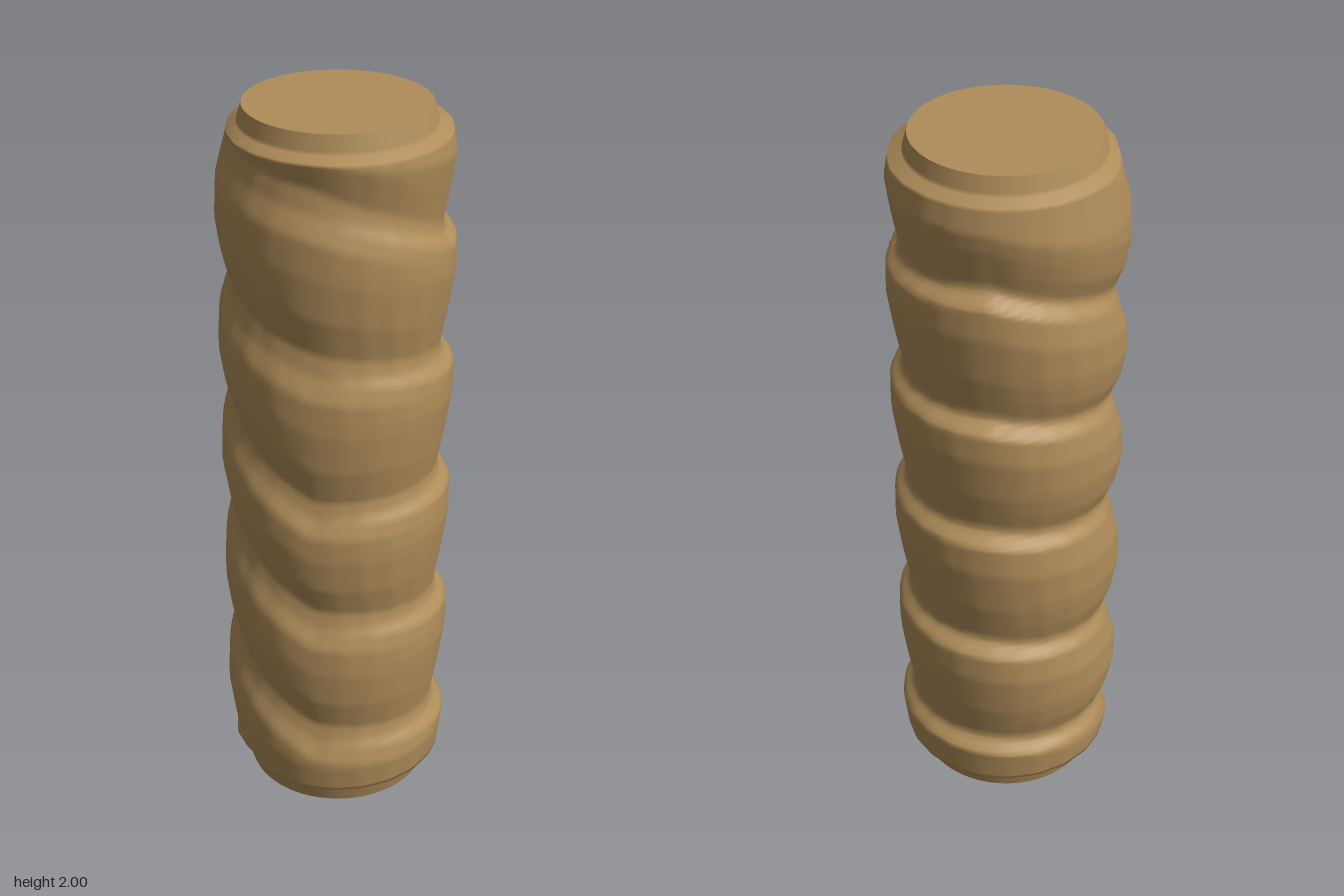
import * as THREE from 'three';
import { mergeVertices } from 'three/addons/utils/BufferGeometryUtils.js';

// Swell profile from one groove up to the next, [phase, radius], on the sides +x, -z, -x, +z
const SWELLS = [
  [[0, 0.27], [0.35, 0.292], [0.6, 0.305], [0.84, 0.304], [0.91, 0.276]],
  [[0, 0.268], [0.3, 0.295], [0.65, 0.313], [0.88, 0.31], [0.94, 0.27]],
  [[0, 0.279], [0.16, 0.303], [0.4, 0.317], [0.65, 0.312], [0.9, 0.288]],
  [[0, 0.27], [0.24, 0.295], [0.5, 0.305], [0.72, 0.303], [0.86, 0.279]],
];
// Height of the spiral groove at each quarter turn, running down the handle
const GROOVE = [2.45, 2.42, 2.32, 2.3, 2.08, 2.07, 1.95, 1.87, 1.7, 1.72, 1.58, 1.43, 1.36, 1.34, 1.26, 1,
  1, 0.98, 0.93, 0.66, 0.62, 0.59, 0.54, 0.28, 0.24, 0.22, 0.2, -0.1, -0.14, -0.16, -0.18, -0.4];

const { lerp, mapLinear } = THREE.MathUtils;

function swellRadius(side, phase) {
  const points = [...SWELLS[side], [1, SWELLS[side][0][1]]];
  const i = points.findIndex(([p], k) => k > 0 && phase <= p);
  return mapLinear(phase, points[i - 1][0], points[i][0], points[i - 1][1], points[i][1]);
}

function radiusAt(angle, y) {
  // narrow collars
  if (y > 1.943) return mapLinear(y, 1.943, 2, 0.257, 0.241);
  if (y < 0.065) return mapLinear(y, 0, 0.065, 0.25, 0.268);
  const turn = (angle / (Math.PI / 2) + 4) % 4;
  let a = Math.floor(turn);
  const f = turn - a;
  const groove = i => lerp(GROOVE[i], GROOVE[i + 1], f);
  // find the swell between two passes of the groove
  while (groove(a + 4) >= y) a += 4;
  const phase = mapLinear(y, groove(a + 4), groove(a), 0, 1);
  const swell = lerp(swellRadius(a % 4, phase), swellRadius((a + 1) % 4, phase), f);
  // faint upright grain, and a shoulder towards each collar
  const grain = 0.0012 * Math.sin(22 * angle + 1.5 * Math.sin(9 * y)) * Math.abs(Math.sin(2 * angle));
  return Math.min(swell, 0.286 + 0.12 * y, 0.289 + 0.17 * (1.943 - y)) + grain;
}

export function createModel() {
  const model = new THREE.Group();
  model.name = 'grip';
  const tan = new THREE.MeshStandardMaterial({ color: 0xb08d5a });
  tan.name = 'tan';

  // Grip wall with spiral finger swells and a narrow collar at each end
  let wall = new THREE.CylinderGeometry(1, 1, 2, 112, 200, true);
  wall.deleteAttribute('uv');
  wall.deleteAttribute('normal');
  const p = wall.attributes.position;
  for (let i = 0; i < p.count; i++) {
    const x = p.getX(i), z = p.getZ(i), y = p.getY(i) + 1;
    const r = radiusAt(Math.atan2(-z, x), y);
    p.setXYZ(i, x * r, y, z * r);
  }
  wall = mergeVertices(wall, 1e-5);
  wall.computeVertexNormals();
  const body = new THREE.Mesh(wall, tan);
  body.name = 'gripBody';
  model.add(body);

  // Flat ends
  for (const [name, y, r, tilt] of [['topCap', 2, 0.241, -1], ['bottomCap', 0, 0.25, 1]]) {
    const cap = new THREE.Mesh(new THREE.CircleGeometry(r, 112), tan);
    cap.name = name;
    cap.position.y = y;
    cap.rotation.x = tilt * Math.PI / 2;
    model.add(cap);
  }
  return model;
}
